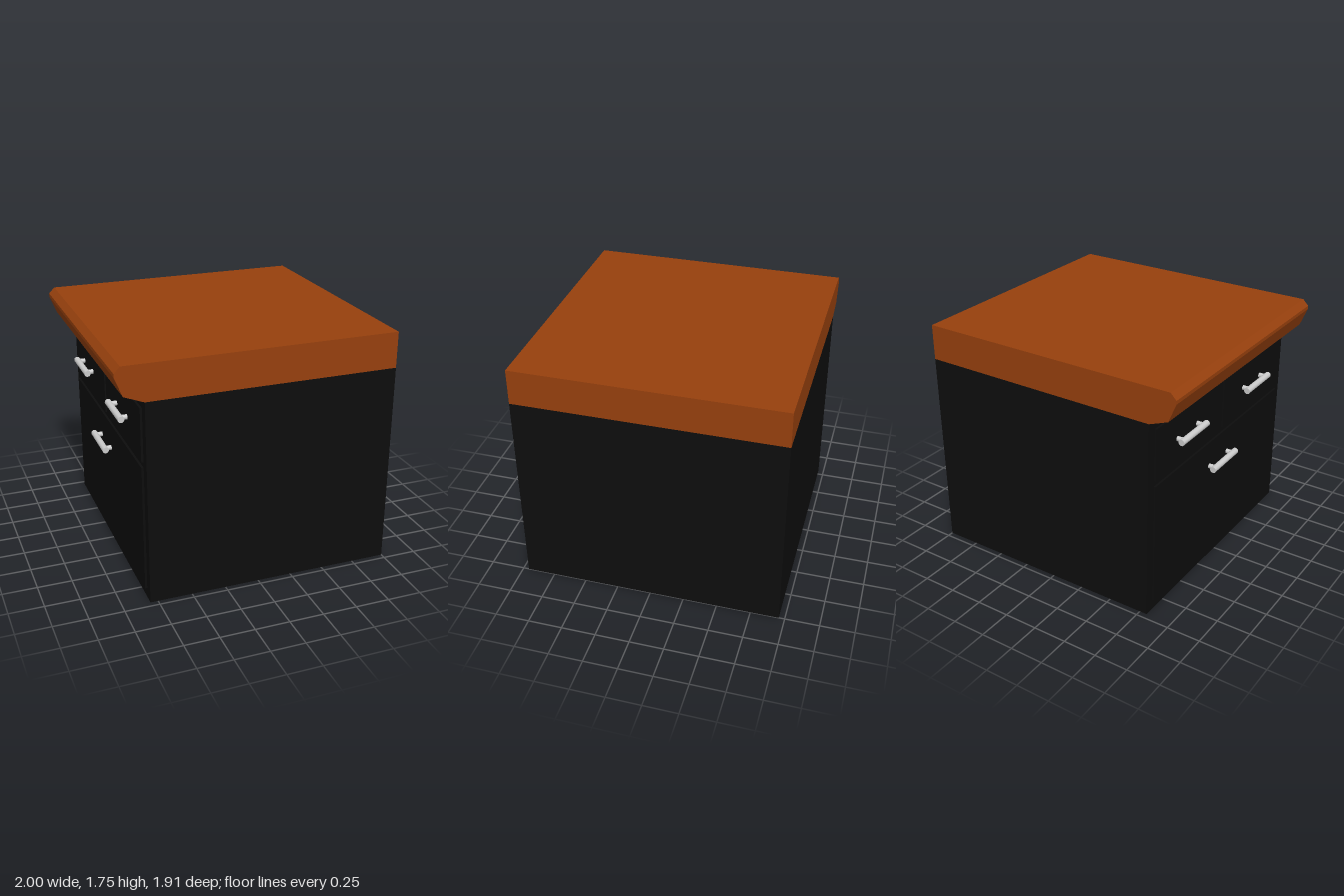
import * as THREE from 'three';

const wood = new THREE.MeshStandardMaterial({ color: 0x97400d, flatShading: true });
const black = new THREE.MeshStandardMaterial({ color: 0x0d0d0d });
const metal = new THREE.MeshStandardMaterial({ color: 0xcccccc });

const HALF_DEPTH = 0.957;
const BODY_FRONT = -0.805; // drawers face -x
const DRAWER_FRONT = -0.82;

// Box given by its minimum and maximum corners
function block(name, min, max, material) {
  const size = max.map((v, i) => v - min[i]);
  const mesh = new THREE.Mesh(new THREE.BoxGeometry(...size), material);
  mesh.position.set(...max.map((v, i) => (v + min[i]) / 2));
  mesh.name = name;
  return mesh;
}

// Bar handle running along z, held by two short posts
function handle(name, y, z) {
  const group = new THREE.Group();
  group.name = name;
  const barX = -0.872;
  const bar = new THREE.Mesh(new THREE.CylinderGeometry(0.023, 0.023, 0.34, 20), metal);
  bar.name = 'handleBar';
  bar.rotation.x = Math.PI / 2;
  bar.position.x = barX;
  group.add(bar);
  for (const side of [-1, 1]) {
    const length = DRAWER_FRONT - barX;
    const post = new THREE.Mesh(new THREE.CylinderGeometry(0.018, 0.018, length, 16), metal);
    post.name = 'handlePost';
    post.rotation.z = Math.PI / 2;
    post.position.set(barX + length / 2, 0, side * 0.13);
    group.add(post);
  }
  group.position.set(0, y, z);
  return group;
}

export function createModel() {
  const model = new THREE.Group();
  model.name = 'drawerCabinet';

  // Cabinet body
  model.add(block('body', [BODY_FRONT, 0, -HALF_DEPTH], [1, 1.49, HALF_DEPTH], black));

  // Worktop with a chamfered, overhanging front edge
  const profile = [[1, 1.49], [1, 1.75], [-0.957, 1.75], [-1, 1.706], [-1, 1.68], [-0.945, 1.545], [-0.805, 1.49]];
  const shape = new THREE.Shape(profile.map(([x, y]) => new THREE.Vector2(x, y)));
  const top = new THREE.Mesh(
    new THREE.ExtrudeGeometry(shape, { depth: 2 * HALF_DEPTH, bevelEnabled: false }), wood);
  top.position.z = -HALF_DEPTH;
  top.name = 'worktop';
  model.add(top);

  // Drawer fronts: two small ones above a wide one
  const edge = HALF_DEPTH - 0.07;
  const drawers = [
    ['upperDrawerA', 1.04, 1.425, -edge, -0.02, 1.24, -0.49],
    ['upperDrawerB', 1.04, 1.425, 0.02, edge, 1.24, 0.44],
    ['lowerDrawer', 0.075, 1.0, -edge, edge, 0.808, -0.03],
  ];
  for (const [name, y0, y1, z0, z1, handleY, handleZ] of drawers) {
    model.add(block(name, [DRAWER_FRONT, y0, z0], [BODY_FRONT, y1, z1], black));
    model.add(handle(name + 'Handle', handleY, handleZ));
  }
  return model;
}
